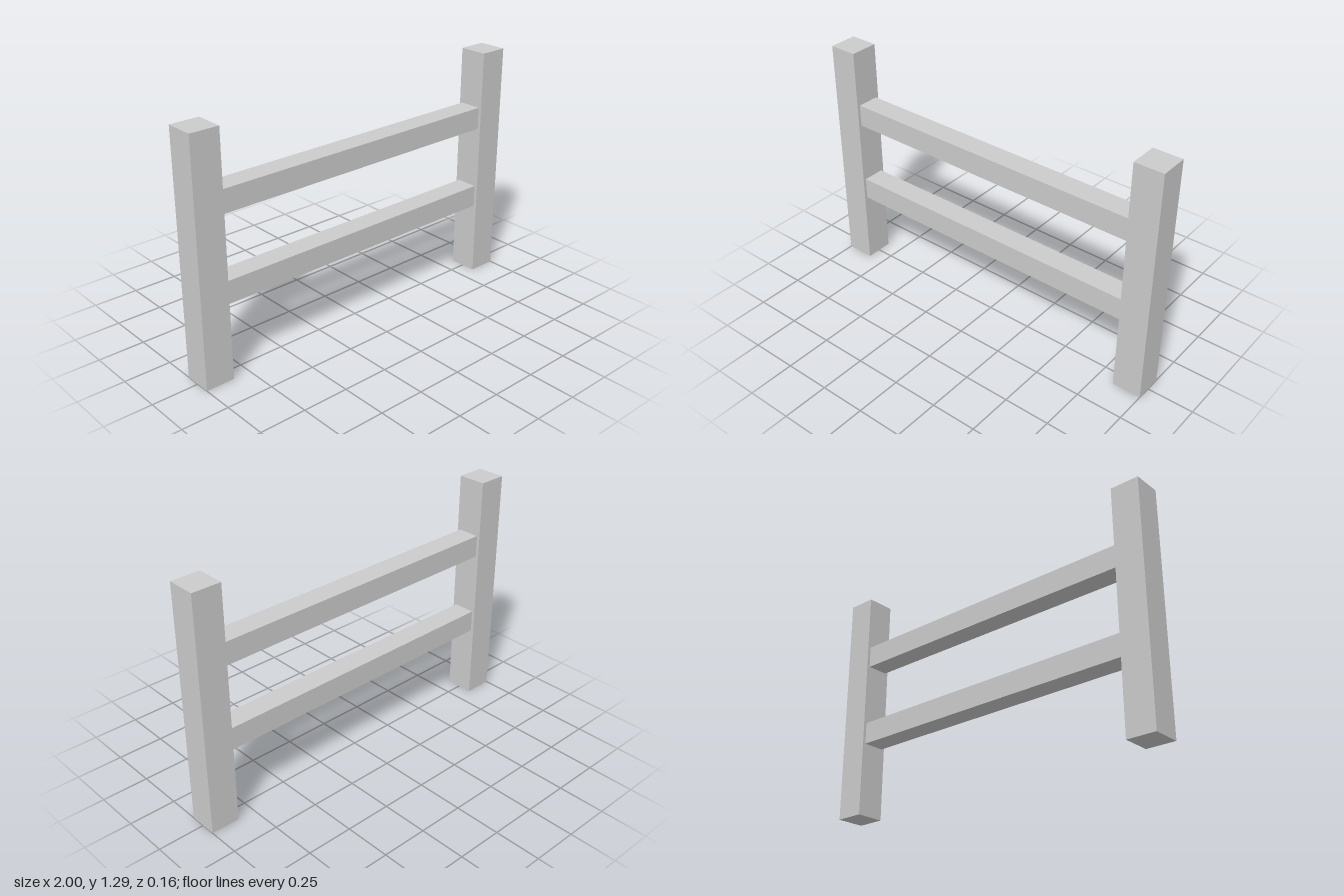
import * as THREE from 'three';

const POST = { width: 0.155, height: 1.29 };
const RAIL = { thickness: 0.121, centres: [0.462, 0.924] };

export function createModel() {
  const fence = new THREE.Group();
  fence.name = 'fence';
  const material = new THREE.MeshStandardMaterial({ color: 0xcccccc, flatShading: true });

  const addBeam = (name, w, h, d, x, y) => {
    const beam = new THREE.Mesh(new THREE.BoxGeometry(w, h, d), material);
    beam.name = name;
    beam.position.set(x, y, 0);
    fence.add(beam);
  };

  // Square posts at both ends
  for (const side of [-1, 1]) {
    addBeam(side > 0 ? 'leftPost' : 'rightPost', POST.width, POST.height, POST.width,
      side * (1 - POST.width / 2), POST.height / 2);
  }

  // Square rails spanning the gap between the posts
  const span = 2 - 2 * POST.width;
  RAIL.centres.forEach((y, i) => {
    addBeam(i ? 'upperRail' : 'lowerRail', span, RAIL.thickness, RAIL.thickness, 0, y);
  });

  return fence;
}
